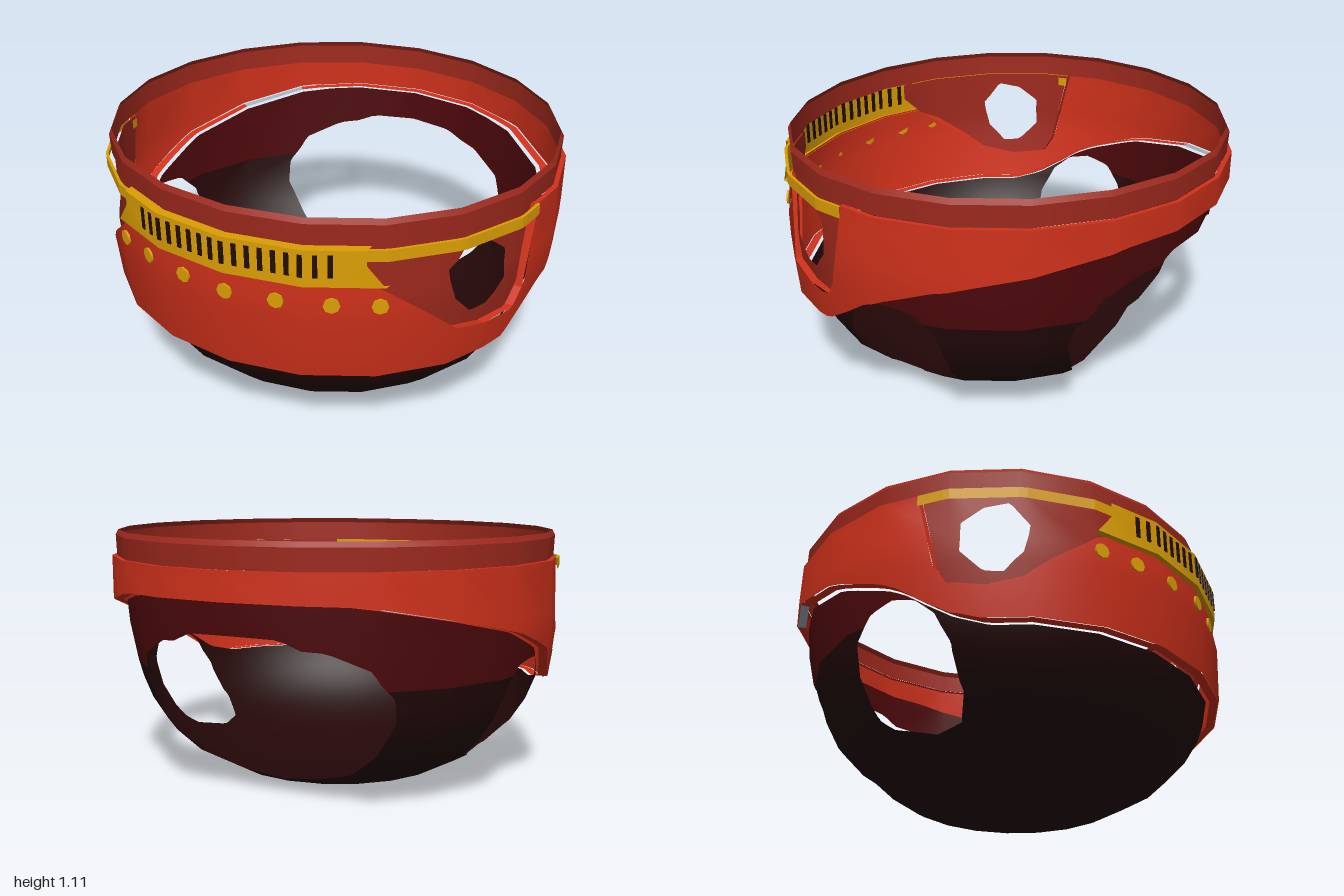
import * as THREE from 'three';

const mat = (name, color) => {
  const m = new THREE.MeshStandardMaterial({ color, side: THREE.DoubleSide });
  m.name = name;
  return m;
};

const SIDES = 20, STEP = (Math.PI * 2) / SIDES;

// Slightly squashed round plan shared by every ring; lower rings sit a little forward
const warp = (v) => v.set(v.x, v.y, v.z * 0.955 + 0.03 * v.x * v.x - 0.01
  + Math.min(0.05, 0.14 * Math.max(0, 0.8 - v.y)));

// Point on the 20-sided ring of radius r
function ringPoint(phi, r, y) {
  const i = Math.floor(phi / STEP + 1e-9), t = phi / STEP - i;
  const corner = (k) => warp(new THREE.Vector3(r * Math.sin(k * STEP), y, r * Math.cos(k * STEP)));
  return corner(i).lerp(corner(i + 1), t);
}

// Angle at which a coordinate of the ring reaches a value
function findPhi(axis, value, r, y) {
  let lo = 0, hi = Math.PI / 2 + (axis === 'z' ? 0.3 : 0);
  for (let i = 0; i < 30; i++) {
    const mid = (lo + hi) / 2, c = ringPoint(mid, r, y)[axis];
    if (axis === 'z' ? c > value : c < value) lo = mid; else hi = mid;
  }
  return lo;
}

// Positive inside a convex polygon, negative outside
function inside(poly, a, b) {
  let cx = 0, cy = 0, best = Infinity;
  for (const p of poly) { cx += p[0] / poly.length; cy += p[1] / poly.length; }
  poly.forEach((p, i) => {
    const q = poly[(i + 1) % poly.length], dx = q[0] - p[0], dy = q[1] - p[1];
    const side = (u, v) => (dx * (v - p[1]) - dy * (u - p[0])) / Math.hypot(dx, dy);
    best = Math.min(best, side(a, b) * Math.sign(side(cx, cy)));
  });
  return best;
}

const mix = (a, b, t) => ({ p: a.p.clone().lerp(b.p, t), n: a.n.clone().lerp(b.n, t) });

// Splits triangles, then trims them to the area where every field is positive
function trim(geo, levels, fields) {
  const g = geo.toNonIndexed(), P = g.attributes.position, N = g.attributes.normal;
  let tris = [];
  for (let i = 0; i < P.count; i += 3) {
    tris.push([0, 1, 2].map((k) => ({
      p: warp(new THREE.Vector3().fromBufferAttribute(P, i + k)),
      n: new THREE.Vector3().fromBufferAttribute(N, i + k),
    })));
  }
  for (let l = 0; l < levels; l++) {
    tris = tris.flatMap(([a, b, c]) => {
      const ab = mix(a, b, 0.5), bc = mix(b, c, 0.5), ca = mix(c, a, 0.5);
      return [[a, ab, ca], [ab, b, bc], [ca, bc, c], [ab, bc, ca]];
    });
  }
  for (const f of fields) {
    tris = tris.flatMap((t) => {
      const d = t.map((v) => f(v.p)), out = [];
      for (let i = 0; i < 3; i++) {
        const j = (i + 1) % 3;
        if (d[i] >= 0) out.push(t[i]);
        if ((d[i] >= 0) !== (d[j] >= 0)) out.push(mix(t[i], t[j], d[i] / (d[i] - d[j])));
      }
      return out.length < 3 ? [] : out.length === 3 ? [out]
        : [[out[0], out[1], out[2]], [out[0], out[2], out[3]]];
    });
  }
  const pos = [], nor = [];
  for (const v of tris.flat()) { pos.push(...v.p.toArray()); nor.push(...v.n.normalize().toArray()); }
  const res = new THREE.BufferGeometry();
  res.setAttribute('position', new THREE.Float32BufferAttribute(pos, 3));
  res.setAttribute('normal', new THREE.Float32BufferAttribute(nor, 3));
  return res;
}

// Strip of quads between two lines of points
function ribbon(a, b) {
  const pos = [];
  for (let i = 0; i + 1 < a.length; i++) {
    for (const v of [a[i], a[i + 1], b[i + 1], a[i], b[i + 1], b[i]]) pos.push(v.x, v.y, v.z);
  }
  const g = new THREE.BufferGeometry();
  g.setAttribute('position', new THREE.Float32BufferAttribute(pos, 3));
  g.computeVertexNormals();
  return g;
}

// Lower edge of the band: height by z, sweeping up to the back
const EDGE = [[1.1, 0.43], [0.42, 0.43], [0.31, 0.46], [0.2, 0.53], [0.1, 0.6], [0, 0.645],
  [-0.2, 0.72], [-0.5, 0.795], [-0.8, 0.87], [-1.1, 0.89]];
function edgeY(z) {
  const i = Math.max(1, EDGE.findIndex((e) => e[0] <= z));
  const [a, b] = [EDGE[i - 1], EDGE[i]];
  return a[1] + ((b[1] - a[1]) * (z - a[0])) / (b[0] - a[0]);
}
// Radius of the band, drawn in towards its foot
const bandR = (y) => 1 - 0.18 * Math.max(0, 0.68 - y);

const OPENING = [[0.83, 1.01], [0.83, 0.93], [0.79, 0.84], [0.58, 0.6], [0.44, 0.565],
  [0.3, 0.58], [0.26, 0.65], [0.18, 1.01]];
const PORT = [[0.51, 0.95], [0.42, 0.93], [0.34, 0.86], [0.34, 0.73], [0.42, 0.64],
  [0.49, 0.635], [0.56, 0.72], [0.575, 0.85]];
const SIDE_HOLE = [[0.04, 0.59], [-0.08, 0.57], [-0.16, 0.48], [-0.175, 0.35], [-0.155, 0.2],
  [-0.1, 0.16], [0.07, 0.12], [0.2, 0.14], [0.26, 0.22], [0.27, 0.38], [0.22, 0.5], [0.14, 0.57]];
// Back hole drawn on a plane tilted by 45 degrees: x against y - z
const HALF = [[0.31, 0.6], [0.47, 0.8], [0.57, 0.98], [0.58, 1.12], [0.52, 1.32], [0.37, 1.49], [0.2, 1.6]];
const BACK_HOLE = [[0, 0.53], ...HALF, [0, 1.64], ...HALF.map(([x, s]) => [-x, s]).reverse()];

const plateField = (p) => Math.min(p.z, 0.53 + Math.max(0, 0.94 - p.y) * 0.7 - Math.abs(p.x));
const openField = (p) => -inside(OPENING, p.z, p.y);

export function createModel() {
  const root = new THREE.Group();
  const red = mat('red', 0xd0311b), brick = mat('brick red', 0x9e291d), gold = mat('gold', 0xdc9f04);
  const maroon = mat('maroon', 0x4c080b), dark = mat('dark maroon', 0x240708);
  const black = mat('slot black', 0x200c08), grey = mat('pale grey', 0xa9b4be);

  const add = (name, geo, m) => {
    const mesh = new THREE.Mesh(geo, m);
    mesh.name = name;
    root.add(mesh);
    return mesh;
  };
  const shell = (name, profile, m, levels = 0, fields = []) => add(name, trim(
    new THREE.LatheGeometry(profile.map(([r, y]) => new THREE.Vector2(r, y)), SIDES), levels, fields), m);

  // Bowl with two side holes and a large back hole
  const bowl = [[0.001, 0], [0.28, 0.008], [0.49, 0.045], [0.69, 0.15], [0.8, 0.25], [0.865, 0.35],
    [0.905, 0.45], [0.92, 0.53], [0.938, 0.7], [0.948, 0.9]];
  const bowlCuts = [(p) => edgeY(p.z) - p.y, (p) => -inside(SIDE_HOLE, p.z, p.y),
    (p) => -inside(BACK_HOLE, p.x, p.y - p.z)];
  shell('lowerBowl', bowl.slice(0, 8), dark, 3, bowlCuts);
  shell('upperBowl', bowl.slice(7), maroon, 3, bowlCuts);

  // Outer band, open at the side panels and behind the front plate
  const bandLevels = [0.43, 0.68, 0.8, 1];
  shell('band', bandLevels.map((y) => [bandR(y), y]), red, 4, [(p) => p.y - edgeY(p.z),
    openField, (p) => Math.max(-plateField(p), 0.85 - p.y)]);
  shell('bandShoulder', [[1, 1], [0.98, 1]], red, 3, [openField]);

  // Lip under the band, pale along one facet at the back right
  const lowerLip = (name, from, to, m) => {
    const line = (inset) => Array.from({ length: (to - from) * 6 + 1 }, (_, i) => {
      const phi = (from + i / 6) * STEP, y = edgeY(ringPoint(phi, 1, 0.7).z);
      return ringPoint(phi, bandR(y) - inset, y);
    });
    add(name, ribbon(line(0.004), line(0.042)), m);
  };
  lowerLip('bandLowerLip', -7, 12, red);
  lowerLip('paleLip', 12, 13, grey);

  // Collar on top
  shell('collar', [[0.978, 1], [0.982, 1.09]], brick);
  shell('collarBevel', [[0.982, 1.09], [0.97, 1.112]], brick);

  // Recessed side panels with portholes
  shell('sidePanels', bandLevels.map((y) => [bandR(y) - 0.032, y]), brick, 4,
    [(p) => inside(OPENING, p.z, p.y), (p) => -inside(PORT, p.z, p.y)]);

  for (const s of [1, -1]) {
    const side = s > 0 ? 'left' : 'right';
    // Point on one side wall at a given z
    const at = (z, r, y) => {
      const v = ringPoint(findPhi('z', z, r, y), r, y);
      v.x *= s;
      return v;
    };
    // Walls of the panel recess
    const lip = (inset) => OPENING.map(([z, y]) => at(z, bandR(y) - inset, Math.min(y, 1)));
    add(side + 'PanelLip', ribbon(lip(0), lip(0.032)), red);
    // Thin gold rail over the panel, with its end showing inside
    const rail = (r, y) => Array.from({ length: 25 }, (_, i) => at(0.83 - (0.645 * i) / 24, r, y));
    add(side + 'Rail', ribbon(rail(1.006, 0.95), rail(1.006, 0.998)), gold);
    add(side + 'RailTop', ribbon(rail(1.006, 0.998), rail(0.994, 0.998)), gold);
    const tab = (y) => [0.225, 0.185].map((z) => at(z, 0.962, y));
    add(side + 'RailEnd', ribbon(tab(0.95), tab(0.99)), gold);
  }

  // Gold front plate with top and bottom returns
  shell('frontPlate', [[1.02, 0.845], [1.02, 1.002]], gold, 4, [plateField]);
  shell('frontPlateTop', [[1.02, 1.002], [0.98, 1.002]], gold, 3, [plateField]);
  shell('frontPlateBottom', [[0.998, 0.842], [1.02, 0.845]], gold, 3, [plateField]);

  // Places a flat detail on the front wall at a given x
  const place = (mesh, x, y, r) => {
    const phi = findPhi('x', Math.abs(x), r, y), f = (Math.floor(phi / STEP) + 0.5) * STEP;
    mesh.position.copy(ringPoint(phi, r, y));
    mesh.position.x *= Math.sign(x) || 1;
    mesh.rotation.y = f * Math.sign(x);
  };
  const slot = new THREE.BoxGeometry(0.019, 0.095, 0.009);
  for (let i = 0; i < 17; i++) place(add('slot', slot, black), (i - 8) * 0.0512, 0.935, 1.02);

  const stud = new THREE.CylinderGeometry(0.033, 0.033, 0.009, 8).rotateX(Math.PI / 2);
  for (const x of [-0.575, -0.41, -0.205, 0, 0.205, 0.41, 0.575]) {
    place(add('stud', stud, gold), x, 0.76, 1.006);
  }

  return root;
}
